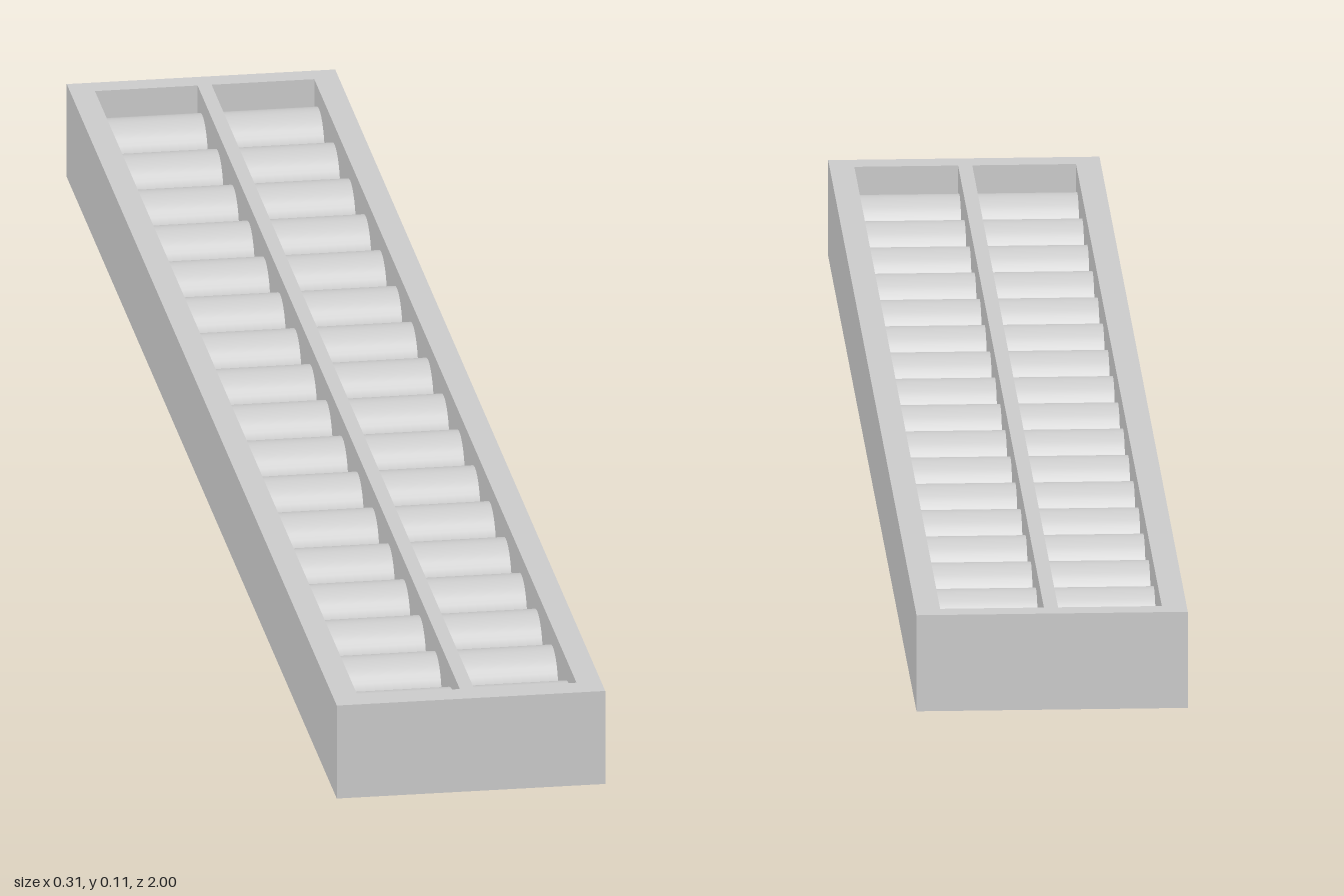
import * as THREE from 'three';

const WIDTH = 0.306, HEIGHT = 0.112, LENGTH = 2, FLOOR = 0.02;
const INNER = 0.008, OUTER = 0.125;          // x range of each channel
const BACK = -0.973, FRONT = 0.969;          // z range of each channel
const ROLLERS = 17, PITCH = 0.1154, FIRST = -0.931, RADIUS = 0.042;

const material = new THREE.MeshStandardMaterial({ color: 0xcccccc });

function addMesh(parent, name, geometry) {
  const mesh = new THREE.Mesh(geometry, material);
  mesh.name = name;
  parent.add(mesh);
  return mesh;
}

// Closed rectangle in plan; y of the shape is -z of the model
function rectangle(Type, x0, x1, z0, z1) {
  return new Type([
    new THREE.Vector2(x0, -z1), new THREE.Vector2(x1, -z1),
    new THREE.Vector2(x1, -z0), new THREE.Vector2(x0, -z0),
  ]);
}

export function createModel() {
  const model = new THREE.Group();
  model.name = 'rollerTrack';

  // Bottom plate forming the channel floors
  addMesh(model, 'base', new THREE.BoxGeometry(WIDTH, FLOOR, LENGTH)).position.y = FLOOR / 2;

  // Rim and centre divider around two long channels
  const outline = rectangle(THREE.Shape, -WIDTH / 2, WIDTH / 2, -LENGTH / 2, LENGTH / 2);
  outline.holes.push(
    rectangle(THREE.Path, -OUTER, -INNER, BACK, FRONT),
    rectangle(THREE.Path, INNER, OUTER, BACK, FRONT),
  );
  const frame = new THREE.ExtrudeGeometry(outline, { depth: HEIGHT - FLOOR, bevelEnabled: false });
  frame.rotateX(-Math.PI / 2);
  addMesh(model, 'frame', frame).position.y = FLOOR;

  // Two rows of rollers lying across the channels
  const roller = new THREE.CylinderGeometry(RADIUS, RADIUS, OUTER - INNER - 0.002, 32);
  roller.rotateZ(Math.PI / 2);
  for (const side of [-1, 1]) {
    const row = new THREE.Group();
    row.name = side > 0 ? 'leftRollers' : 'rightRollers';
    row.position.x = side * (INNER + OUTER) / 2;
    for (let i = 0; i < ROLLERS; i++) {
      addMesh(row, 'roller', roller).position.set(0, 0.05, FIRST + i * PITCH);
    }
    model.add(row);
  }
  return model;
}
